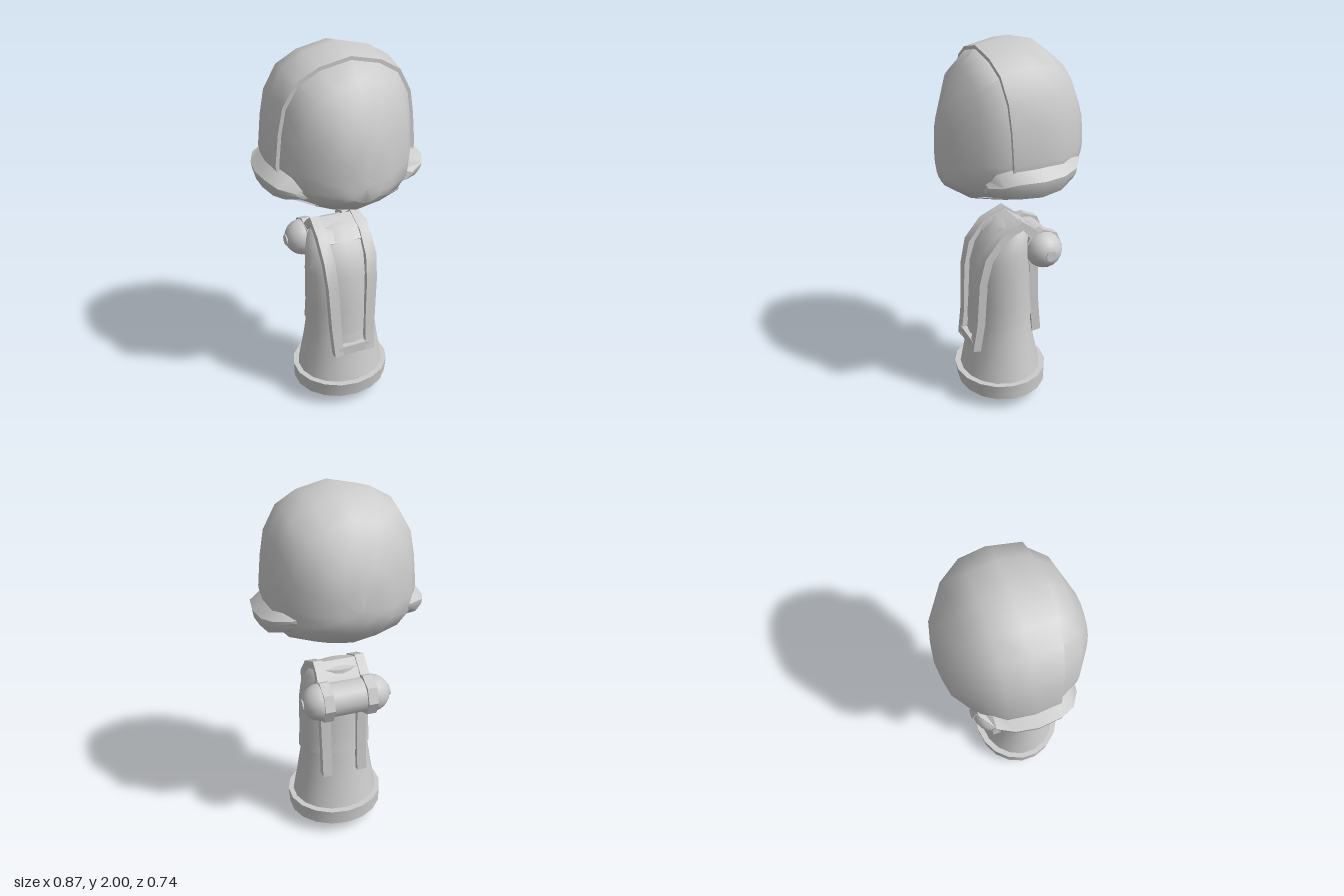
import * as THREE from 'three';
import { mergeVertices, toCreasedNormals } from 'three/addons/utils/BufferGeometryUtils.js';

const material = new THREE.MeshStandardMaterial({ color: 0xcccccc, side: THREE.DoubleSide });
const lerp = THREE.MathUtils.lerp;

function part(parent, name, geometry, x = 0, y = 0, z = 0) {
  const mesh = new THREE.Mesh(geometry, material);
  mesh.name = name;
  mesh.position.set(x, y, z);
  parent.add(mesh);
  return mesh;
}

// Skin a row of equal-length sections; rings run counter-clockwise around the sweep.
function loft(sections, { closed = true, caps = false, crease = 1.0 } = {}) {
  const n = sections[0].length, positions = sections.flat(2), index = [];
  const spans = closed ? n : n - 1;
  for (let i = 0; i < sections.length - 1; i++) {
    for (let j = 0; j < spans; j++) {
      const k = (j + 1) % n, a = i * n + j, b = i * n + k, c = b + n, d = a + n;
      index.push(a, b, c, a, c, d);
    }
  }
  if (caps) {
    const last = (sections.length - 1) * n;
    for (let j = 1; j < n - 1; j++) {
      index.push(0, j + 1, j, last, last + j, last + j + 1);
    }
  }
  const geometry = new THREE.BufferGeometry();
  geometry.setAttribute('position', new THREE.Float32BufferAttribute(positions, 3));
  geometry.setIndex(index);
  return toCreasedNormals(mergeVertices(geometry), crease);
}

// Horizontal oval ring: half width rx, front and back z, optional rise towards the back.
function oval(y, rx, front, back, tilt = 0, sides = 18) {
  return Array.from({ length: sides }, (_, j) => {
    const a = (j / sides) * Math.PI * 2;
    return [rx * Math.sin(a), y + tilt * (1 - Math.cos(a)) / 2,
      (front + back) / 2 + (front - back) / 2 * Math.cos(a)];
  });
}

// Half outline of the head, from crown to chin: width share, height share.
const HALF = [[0, 1], [0.42, 0.955], [0.71, 0.875], [0.89, 0.725], [0.955, 0.56],
  [1, 0.35], [0.96, 0.2], [0.78, 0.1], [0.42, 0.035], [0, 0]];
const OUTLINE = [...HALF, ...HALF.slice(1, -1).reverse().map(([x, t]) => [-x, t])];

function headRing([z, w, top, bottom], lean = 0, inset = 0) {
  return OUTLINE.map(([x, t]) => [x * Math.max(0, w - inset),
    lerp(bottom + inset * 0.5, top - inset, t), z + lean * t ** 4]);
}

// Flat strap following a y/z path; each stop is y, z, centre x, half width.
function strap(path, side, thickness) {
  const sections = path.map(([y, z, x, w], i) => {
    const p = path[Math.max(0, i - 1)], q = path[Math.min(path.length - 1, i + 1)];
    const dy = q[0] - p[0], dz = q[1] - p[1], len = Math.hypot(dy, dz);
    const iy = y + dz / len * thickness, iz = z - dy / len * thickness;
    const cx = x * side;
    return [[cx - w, y, z], [cx + w, y, z], [cx + w, iy, iz], [cx - w, iy, iz]];
  });
  return loft(sections, { caps: true, crease: 0.6 });
}

function buildHead() {
  const head = new THREE.Group();
  head.name = 'head';
  const seam = [0.13, 0.37, 1.965, 1.205];
  const front = [[0.37, 0, 1.41, 1.39], [0.358, 0.08, 1.56, 1.31], [0.34, 0.15, 1.66, 1.285],
    [0.25, 0.29, 1.885, 1.225]];
  const back = [[0, 0.385, 2, 1.2], [-0.13, 0.37, 1.975, 1.22], [-0.24, 0.3, 1.89, 1.27],
    [-0.34, 0.17, 1.7, 1.365], [-0.36, 0.085, 1.6, 1.43], [-0.37, 0, 1.5, 1.48]];

  // Helmet shell with a thin lip turned in at the face opening
  part(head, 'helmetShell', loft([headRing(seam, 0.035, 0.018), headRing(seam, 0.035),
    ...back.map((s) => headRing(s))], { crease: 1.1 }));
  // Face, set slightly inside the shell
  part(head, 'face', loft([headRing(front[0]), headRing(front[1], 0, 0.004),
    headRing(front[2], 0, 0.006), headRing(front[3], 0, 0.012),
    headRing(seam, 0.035, 0.018), headRing([0.1, 0.37, 1.96, 1.205], 0.035, 0.02)]));
  // Chin edge of the shell, wrapping forward under the face
  part(head, 'chinGuard', loft([...front.slice(1), seam].map((s) => headRing(s).slice(7, 12)),
    { closed: false }));

  // Flared ear guards: z, outer x, top y, bottom y
  const ear = [[0.235, 0.31, 1.39, 1.32], [0.19, 0.385, 1.43, 1.31], [0.12, 0.42, 1.47, 1.3],
    [0, 0.435, 1.475, 1.295], [-0.11, 0.42, 1.475, 1.31], [-0.19, 0.385, 1.475, 1.35],
    [-0.25, 0.3, 1.46, 1.41]];
  for (const side of [1, -1]) {
    const sections = ear.map(([z, x, top, bottom]) => {
      const ring = [[x - 0.08, 0], [x, 0.4], [x - 0.006, 0.62], [x - 0.035, 0.9], [x - 0.13, 1]]
        .map(([px, t]) => [px * side, lerp(top, bottom, t), z]);
      return side > 0 ? ring : ring.reverse();
    });
    part(head, side > 0 ? 'leftEarGuard' : 'rightEarGuard',
      loft(sections, { caps: true, crease: 0.7 }));
  }
  return head;
}

function buildBody() {
  const body = new THREE.Group();
  body.name = 'body';
  // Rimmed foot with a shallow rounded underside
  part(body, 'base', loft([oval(0, 0, 0.045, 0.045), oval(0.018, 0.15, 0.2, -0.11),
    oval(0.072, 0.268, 0.285, -0.205), oval(0.16, 0.272, 0.3, -0.21),
    oval(0.16, 0.2, 0.22, -0.14)], { crease: 0.6 }));
  // Lower coat
  part(body, 'skirt', loft([oval(0.15, 0.245, 0.27, -0.178), oval(0.33, 0.215, 0.235, -0.14),
    oval(0.45, 0.197, 0.216, -0.125), oval(0.58, 0.188, 0.203, -0.112)]));
  // Upper coat with a small overhanging hem
  part(body, 'vest', loft([oval(0.45, 0.19, 0.205, -0.115, 0.07),
    oval(0.45, 0.204, 0.222, -0.13, 0.07), oval(0.6, 0.198, 0.212, -0.12),
    oval(0.8, 0.197, 0.2, -0.11), oval(0.9, 0.19, 0.168, -0.107), oval(0.98, 0.17, 0.112, -0.1),
    oval(1.03, 0.13, 0.06, -0.09), oval(1.048, 0, -0.02, -0.02)]));

  // Harness straps over the shoulders and down the back
  const over = [[0.335, 0.252, 0.09, 0.025], [0.5, 0.229, 0.098, 0.027],
    [0.76, 0.217, 0.11, 0.029], [0.9, 0.185, 0.118, 0.03], [1.01, 0.095, 0.12, 0.028],
    [1.07, -0.03, 0.115, 0.025], [1.03, -0.085, 0.115, 0.025], [0.97, -0.14, 0.12, 0.025]];
  const down = [[0.84, -0.122, 0.105, 0.027], [0.6, -0.13, 0.1, 0.027],
    [0.39, -0.148, 0.1, 0.027]];
  for (const side of [1, -1]) {
    const name = side > 0 ? 'left' : 'right';
    part(body, name + 'ShoulderStrap', strap(over, side, 0.045));
    part(body, name + 'BackStrap', strap(down, side, 0.05));
  }
  part(body, 'strapCrossbar', new THREE.BoxGeometry(0.18, 0.055, 0.04), 0, 0.3625, 0.228);
  // Collar panel between the straps
  part(body, 'collarPanel', strap([[0.97, 0.115, 0, 0.1], [1.02, 0.065, 0, 0.1],
    [1.06, -0.03, 0, 0.1], [1.02, -0.085, 0, 0.1], [0.96, -0.13, 0, 0.1]], 1, 0.04));
  return body;
}

function buildRoll() {
  // Round-ended canister carried across the upper back
  const roll = new THREE.Group();
  roll.name = 'backCanister';
  roll.position.set(0, 0.895, -0.148);
  const along = (geometry) => geometry.rotateZ(-Math.PI / 2);
  part(roll, 'canisterTube', along(new THREE.CylinderGeometry(0.092, 0.092, 0.28, 16)));
  for (const side of [1, -1]) {
    const dome = new THREE.SphereGeometry(0.1, 16, 8, 0, Math.PI * 2, 0, Math.PI / 2);
    part(roll, 'canisterEnd', dome.rotateZ(-side * Math.PI / 2), side * 0.14);
    part(roll, 'endButton', along(new THREE.CylinderGeometry(0.03, 0.03, 0.02, 12)), side * 0.232);
    part(roll, 'strapLoop', toCreasedNormals(
      along(new THREE.CylinderGeometry(0.112, 0.112, 0.052, 8)), 0.5), side * 0.118);
  }
  return roll;
}

export function createModel() {
  const model = new THREE.Group();
  model.name = 'figure';
  model.add(buildHead(), buildBody(), buildRoll());
  return model;
}
